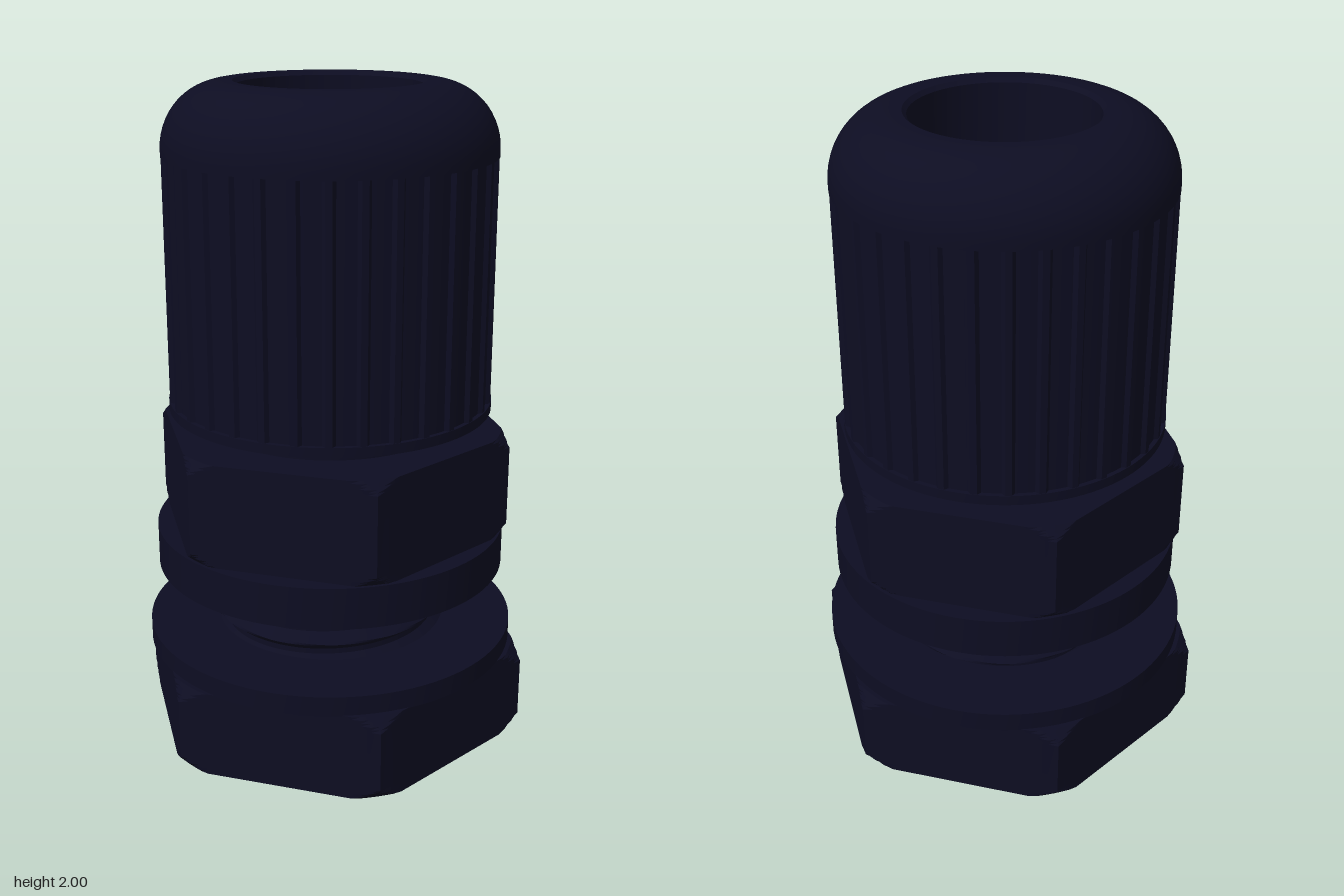
import * as THREE from 'three';
import { toCreasedNormals } from 'three/addons/utils/BufferGeometryUtils.js';

const TAU = Math.PI * 2;

// Sweep a [radius, y] profile around y; shape(r, angle, y) may alter the radius
function sweep(profile, segments, shape = r => r, crease = 0.5) {
  const pos = [], index = [], row = segments + 1;
  for (const [r, y] of profile) {
    for (let i = 0; i <= segments; i++) {
      const a = (i % segments) / segments * TAU, q = shape(r, a, y);
      pos.push(q * Math.cos(a), y, -q * Math.sin(a));
    }
  }
  for (let j = 0; j < profile.length - 1; j++) {
    for (let i = 0; i < segments; i++) {
      const a = j * row + i, b = a + 1, c = a + row, d = c + 1;
      index.push(a, b, d, a, d, c);
    }
  }
  const g = new THREE.BufferGeometry();
  g.setAttribute('position', new THREE.Float32BufferAttribute(pos, 3));
  g.setIndex(index);
  return toCreasedNormals(g, crease);
}

// Hexagonal prism with a bore and cone-chamfered corners at both ends
function hexNut(y0, y1, corner, bore, chamfer) {
  const profile = [[bore, y0]], steps = 5;
  for (let i = 0; i <= steps; i++) {
    const t = i / steps;
    profile.push([corner - chamfer * (1 - t), y0 + chamfer * 1.15 * t]);
  }
  for (let i = 0; i <= steps; i++) {
    const t = i / steps;
    profile.push([corner - chamfer * t, y1 - chamfer * 1.15 * (1 - t)]);
  }
  profile.push([bore, y1], [bore, y0]);
  const apothem = corner * Math.cos(Math.PI / 6);
  return sweep(profile, 144, (r, a) =>
    Math.min(r, apothem / Math.cos((a % (TAU / 6)) - TAU / 12)));
}

// Plain ring with a rectangular section
const ring = (inner, outer, y0, y1) =>
  sweep([[inner, y0], [outer, y0], [outer, y1], [inner, y1], [inner, y0]], 96);

export function createModel() {
  const group = new THREE.Group();
  const nylon = new THREE.MeshStandardMaterial({ color: 0x0d0d22 });
  nylon.name = 'dark navy nylon';
  const add = (name, geometry) => {
    const mesh = new THREE.Mesh(geometry, nylon);
    mesh.name = name;
    group.add(mesh);
  };

  // Lock nut with its washer face
  add('lockNut', hexNut(0, 0.272, 0.623, 0.39, 0.036));
  add('lockNutFlange', ring(0.355, 0.574, 0.27, 0.332));

  // Helical thread on the body stem
  const pitch = 0.075, y0 = 0.11, rows = 72;
  const thread = [];
  for (let i = 0; i <= rows; i++) thread.push([0.32, y0 + i * pitch / 12]);
  add('thread', sweep(thread, 96, (r, a, y) => {
    const p = y / pitch - a / TAU, f = p - Math.floor(p);
    return r + 0.045 * (1 - Math.abs(2 * f - 1));
  }));
  add('stemTube', sweep([[0.29, y0], [0.33, y0], [0.33, 0.54], [0.29, 0.54], [0.29, y0]], 96));

  // Body flange, wrench hexagon and neck
  add('bodyFlange', ring(0.29, 0.541, 0.53, 0.658));
  add('bodyHex', hexNut(0.655, 0.975, 0.56, 0.29, 0.032));
  add('neck', ring(0.29, 0.365, 0.97, 1.05));

  // Cable seal inside the cap
  add('seal', ring(0.208, 0.3, 0.95, 1.74));

  // Cap: bottom collar, ribbed grip and rounded dome
  add('capCollar', ring(0.28, 0.492, 1.03, 1.06));
  const ribs = 32, perRib = 10;
  add('capGrip', sweep([[0.478, 1.055], [0.478, 1.795]], ribs * perRib, (r, a) => {
    const k = Math.round(a / TAU * ribs * perRib) % perRib;
    return k < 3 ? r + 0.012 : r;
  }, 0.4));
  const dome = [[0.27, 1.72], [0.45, 1.72], [0.45, 1.79], [0.491, 1.79]];
  for (let i = 0; i <= 14; i++) {
    const t = i / 14 * Math.PI / 2;
    dome.push([0.306 + 0.185 * Math.cos(t), 1.81 + 0.19 * Math.sin(t)]);
  }
  dome.push([0.28, 2], [0.268, 1.988], [0.268, 1.72]);
  add('capDome', sweep(dome, 96));

  return group;
}
